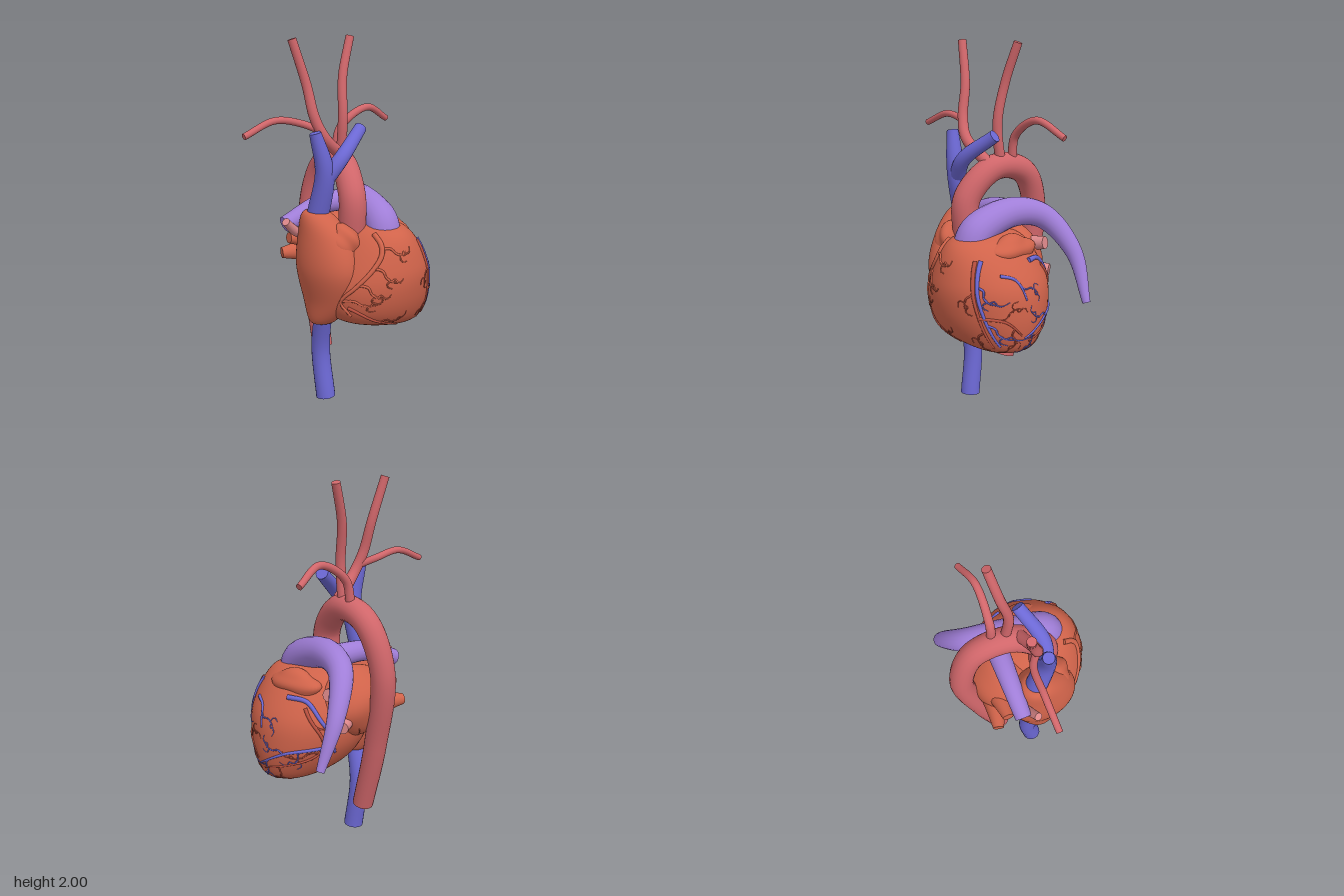
import * as THREE from 'three';

const COLORS = { muscle: 0xd0634a, artery: 0xd0666a, vein: 0x6c68d4, pulmonary: 0xa07ed8, coronary: 0xb9503f, pink: 0xe08a8c };
const MATERIALS = Object.fromEntries(Object.entries(COLORS).map(([kind, color]) =>
  [kind, new THREE.MeshStandardMaterial({ color, side: THREE.DoubleSide })]));

// Smooth interpolation through rows of numbers, t from 0 to 1
function sample(rows, t) {
  const f = t * (rows.length - 1);
  const i = Math.min(Math.floor(f), rows.length - 2);
  const row = (k) => rows[THREE.MathUtils.clamp(k, 0, rows.length - 1)];
  return rows[0].map((_, c) => {
    const a = row(i - 1)[c], b = row(i)[c], d = row(i + 1)[c], e = row(i + 2)[c];
    const u = f - i, m0 = (d - a) / 2, m1 = (e - b) / 2;
    return b + u * (m0 + u * (3 * (d - b) - 2 * m0 - m1 + u * (2 * (b - d) + m0 + m1)));
  });
}

// Oval sections, bottom to top: [y, centreX, centreZ, radiusX, radiusZ]
const VENTRICLES = [
  [0.43, 0.29, 0.13, 0, 0], [0.45, 0.27, 0.13, 0.15, 0.13], [0.52, 0.18, 0.12, 0.29, 0.23],
  [0.66, 0.155, 0.105, 0.33, 0.3], [0.82, 0.155, 0.105, 0.295, 0.305], [1.0, 0.14, 0.11, 0.16, 0.22], [1.05, 0.14, 0.11, 0, 0]];
const RIGHT_ATRIUM = [
  [0.485, -0.125, 0.01, 0, 0], [0.49, -0.125, 0.01, 0.075, 0.07], [0.62, -0.12, 0.03, 0.105, 0.15],
  [0.8, -0.12, 0.04, 0.14, 0.2], [0.98, -0.125, 0.02, 0.12, 0.16], [1.095, -0.145, -0.015, 0.072, 0.08], [1.105, -0.145, -0.015, 0, 0]];

function loft(name, rows) {
  const rings = 48, seg = 56, pos = [], index = [];
  for (let i = 0; i <= rings; i++) {
    const [y, cx, cz, rx, rz] = sample(rows, i / rings);
    for (let j = 0; j < seg; j++) {
      const a = j / seg * Math.PI * 2;
      pos.push(cx + rx * Math.cos(a), y, cz + rz * Math.sin(a));
      if (i === rings) continue;
      const p = i * seg + j, q = i * seg + (j + 1) % seg;
      index.push(p, p + seg, q, q, p + seg, q + seg);
    }
  }
  const g = new THREE.BufferGeometry();
  g.setAttribute('position', new THREE.Float32BufferAttribute(pos, 3));
  g.setIndex(index);
  g.computeVertexNormals();
  const mesh = new THREE.Mesh(g, MATERIALS.muscle);
  mesh.name = name;
  return mesh;
}

// Ellipsoid of muscle with a gently lobed surface
function lobe(name, centre, size, roll, depth) {
  const g = new THREE.SphereGeometry(1, 40, 28), p = g.attributes.position;
  for (let i = 0; i < p.count; i++) {
    const x = p.getX(i), y = p.getY(i), z = p.getZ(i);
    const s = 1 + depth * (Math.sin(5 * z + 2 * y) + Math.sin(6 * y + 3 * x));
    p.setXYZ(i, x * s, y * s, z * s);
  }
  g.computeVertexNormals();
  const mesh = new THREE.Mesh(g, MATERIALS.muscle);
  mesh.name = name;
  mesh.position.set(...centre);
  mesh.scale.set(...size);
  mesh.rotation.z = roll;
  return mesh;
}

// Capped tube whose radius runs from r0 to r1; bend > 1 keeps it thick for longer
function vessel(name, kind, r0, r1, pts, bend = 1, steps = 48, sides = 20) {
  const group = new THREE.Group();
  group.name = name;
  const curve = new THREE.CatmullRomCurve3(pts.map((p) => new THREE.Vector3(...p)));
  const g = new THREE.TubeGeometry(curve, steps, 1, sides);
  const pos = g.attributes.position, v = new THREE.Vector3();
  for (let i = 0; i <= steps; i++) {
    const c = curve.getPointAt(i / steps), r = r0 + (r1 - r0) * (i / steps) ** bend;
    for (let j = 0; j <= sides; j++) {
      const k = i * (sides + 1) + j;
      v.fromBufferAttribute(pos, k).sub(c).multiplyScalar(r).add(c);
      pos.setXYZ(k, v.x, v.y, v.z);
    }
  }
  group.add(new THREE.Mesh(g, MATERIALS[kind]));
  for (const end of [0, 1]) {
    const cap = new THREE.Mesh(new THREE.CircleGeometry(end ? r1 : r0, sides), MATERIALS[kind]);
    cap.position.copy(curve.getPointAt(end));
    cap.lookAt(cap.position.clone().addScaledVector(curve.getTangentAt(end), end ? 1 : -1));
    group.add(cap);
  }
  return group;
}

// Oval section of a lofted chamber at height y
function sectionAt(rows, y) {
  let lo = 0, hi = 1;
  for (let i = 0; i < 24; i++) {
    const mid = (lo + hi) / 2;
    if (sample(rows, mid)[0] < y) lo = mid; else hi = mid;
  }
  return sample(rows, lo);
}
const bulge = (d, r) => Math.sqrt(Math.max(0, 1 - (d / Math.max(r, 1e-4)) ** 2));

// Point on the front of the heart from (x, y), or on its left side from (z, y)
function onFront(x, y) {
  const depths = [VENTRICLES, RIGHT_ATRIUM].map((rows) => {
    const [, cx, cz, rx, rz] = sectionAt(rows, y);
    return cz + rz * bulge(x - cx, rx);
  });
  return [x, y, Math.max(...depths)];
}
function onLeft(z, y) {
  const [, cx, cz, rx, rz] = sectionAt(VENTRICLES, y);
  return [cx + rx * bulge(z - cz, rz), y, z];
}

// Vessel on the muscle with forked twigs; turn(i) gives each twig's angle from the stem
function coronary(name, kind, r, project, path, twigs, turn) {
  const group = new THREE.Group();
  group.name = name;
  const stem = new THREE.SplineCurve(path.map((p) => new THREE.Vector2(...p)));
  const lay = (points, a, b, sides) => group.add(
    vessel('branch', kind, a, b, points.map((p) => project(p.x, p.y)), 1, 24, sides));
  lay(stem.getSpacedPoints(12), r, r * 0.5, 10);
  const grow = (from, dir, length, radius, forks) => {
    const side = new THREE.Vector2(-dir.y, dir.x);
    const points = [0, 1, 2, 3, 4].map((k) => from.clone()
      .addScaledVector(dir, length * k / 4).addScaledVector(side, 0.012 * Math.sin(k * 1.9)));
    lay(points, radius, radius * 0.5, 6);
    if (forks) for (const s of [-0.6, 0.7])
      grow(points[s < 0 ? 2 : 3], dir.clone().rotateAround(new THREE.Vector2(), s), length * 0.5, radius * 0.7, false);
  };
  for (let i = 0; i < twigs; i++) {
    const u = (i + 0.6) / twigs * 0.9;
    grow(stem.getPointAt(u), stem.getTangentAt(u).rotateAround(new THREE.Vector2(), turn(i)), 0.13, r * 0.55, true);
  }
  return group;
}

export function createModel() {
  const heart = new THREE.Group();
  heart.name = 'heart';
  const add = (...parts) => heart.add(...parts);

  // Chambers
  add(loft('ventricles', VENTRICLES), loft('rightAtrium', RIGHT_ATRIUM));
  add(lobe('leftAtrium', [0.07, 0.85, -0.12], [0.23, 0.19, 0.17], 0, 0.02));
  add(lobe('leftAuricle', [0.29, 0.95, 0.08], [0.075, 0.085, 0.16], 0.4, 0.05));
  add(lobe('rightAuricle', [-0.08, 0.95, 0.12], [0.1, 0.1, 0.1], -0.5, 0.05));

  // Aorta and the arteries of its arch
  add(vessel('aorta', 'artery', 0.076, 0.057, [[0, 0.95, 0.1], [0, 1.19, 0.105], [0.06, 1.345, -0.05],
    [0.1, 1.3, -0.24], [0.09, 1.05, -0.342], [0.05, 0.62, -0.27], [0.025, 0.24, -0.17]], 1, 80));
  add(vessel('brachiocephalicArtery', 'artery', 0.035, 0.023, [[0.06, 1.36, -0.01], [-0.1, 1.49, 0.005],
    [-0.15, 1.6, -0.02], [-0.17, 1.77, -0.06], [-0.23, 2, -0.1]], 0.6));
  add(vessel('rightSubclavianArtery', 'artery', 0.02, 0.017, [[-0.12, 1.53, 0], [-0.2, 1.57, -0.07], [-0.35, 1.595, -0.1], [-0.53, 1.53, -0.12]]));
  add(vessel('leftCarotidArtery', 'artery', 0.028, 0.023, [[0.08, 1.37, -0.07], [0.075, 1.58, -0.05], [0.1, 1.79, -0.08], [0.17, 2, -0.1]]));
  add(vessel('leftSubclavianArtery', 'artery', 0.025, 0.017, [[0.1, 1.37, -0.14], [0.13, 1.51, -0.13], [0.3, 1.608, -0.105], [0.47, 1.53, -0.12]]));

  // Pulmonary arteries
  add(vessel('pulmonaryTrunk', 'pulmonary', 0.097, 0.022, [[0.13, 0.94, 0.22], [0.14, 1.04, 0.18], [0.19, 1.12, -0.04],
    [0.27, 1.08, -0.21], [0.41, 0.89, -0.3], [0.515, 0.63, -0.285]], 1.3, 60));
  add(vessel('rightPulmonaryArtery', 'pulmonary', 0.064, 0.045, [[0.19, 1.11, -0.09], [-0.03, 1.1, -0.125], [-0.25, 1.02, -0.155]]));

  // Great veins
  add(vessel('superiorVenaCava', 'vein', 0.06, 0.031, [[-0.14, 1.05, -0.02], [-0.14, 1.32, 0.045], [-0.185, 1.53, 0.025]], 2));
  add(vessel('leftBrachiocephalicVein', 'vein', 0.045, 0.034, [[-0.14, 1.27, 0.04], [-0.05, 1.39, 0.078], [0.13, 1.525, 0.03]]));
  add(vessel('inferiorVenaCava', 'vein', 0.05, 0.054, [[-0.13, 0.55, 0.02], [-0.1, 0.3, -0.04], [-0.09, 0.015, -0.01]]));

  // Pulmonary veins
  add(vessel('upperRightPulmonaryVein', 'pink', 0.03, 0.022, [[-0.12, 0.94, -0.14], [-0.22, 0.99, -0.11], [-0.295, 1.055, -0.09]]));
  add(vessel('middleRightPulmonaryVein', 'muscle', 0.09, 0.03, [[0, 0.9, -0.18], [-0.18, 0.92, -0.21]], 0.7));
  add(vessel('lowerRightPulmonaryVein', 'muscle', 0.1, 0.03, [[0.02, 0.83, -0.19], [-0.18, 0.82, -0.275]], 0.7));
  add(vessel('upperLeftPulmonaryVein', 'pink', 0.045, 0.034, [[0.18, 0.93, -0.14], [0.315, 0.95, -0.17]]));
  add(vessel('lowerLeftPulmonaryVein', 'pink', 0.045, 0.032, [[0.15, 0.79, -0.17], [0.29, 0.78, -0.24]]));

  // Coronary vessels of the front
  const alternate = (i) => (i % 2 ? 0.7 : -0.7);
  add(coronary('rightCoronaryArtery', 'muscle', 0.015, onFront, [[0.02, 1], [0, 0.9], [-0.12, 0.74], [-0.16, 0.65], [-0.12, 0.57]], 4, () => 1.5));
  add(coronary('marginalArtery', 'coronary', 0.01, onFront, [[-0.14, 0.62], [-0.02, 0.54], [0.15, 0.48]], 1, () => 0.4));
  add(coronary('anteriorArtery', 'coronary', 0.011, onFront, [[0.27, 0.94], [0.31, 0.75], [0.36, 0.49]], 2, () => -0.5));
  add(coronary('anteriorVein', 'vein', 0.012, onFront, [[0.29, 0.94], [0.33, 0.75], [0.39, 0.5]], 2, () => 0.5));

  // Coronary vessels of the left side
  add(coronary('greatCardiacVein', 'vein', 0.014, onLeft, [[0.05, 0.91], [-0.07, 0.89], [-0.175, 0.74], [-0.165, 0.62]], 0, alternate));
  add(coronary('circumflexArtery', 'coronary', 0.01, onLeft, [[-0.06, 0.87], [-0.15, 0.72], [-0.1, 0.6], [0.14, 0.52]], 3, alternate));
  add(coronary('posteriorVein', 'vein', 0.01, onLeft, [[-0.15, 0.66], [0, 0.63], [0.17, 0.54]], 3, alternate));
  add(coronary('lateralVein', 'vein', 0.009, onLeft, [[0.26, 0.87], [0.19, 0.84], [0.16, 0.74]], 1, alternate));
  add(coronary('diagonalArtery', 'coronary', 0.009, onLeft, [[0.36, 0.66], [0.27, 0.64], [0.19, 0.56]], 2, alternate));
  return heart;
}
